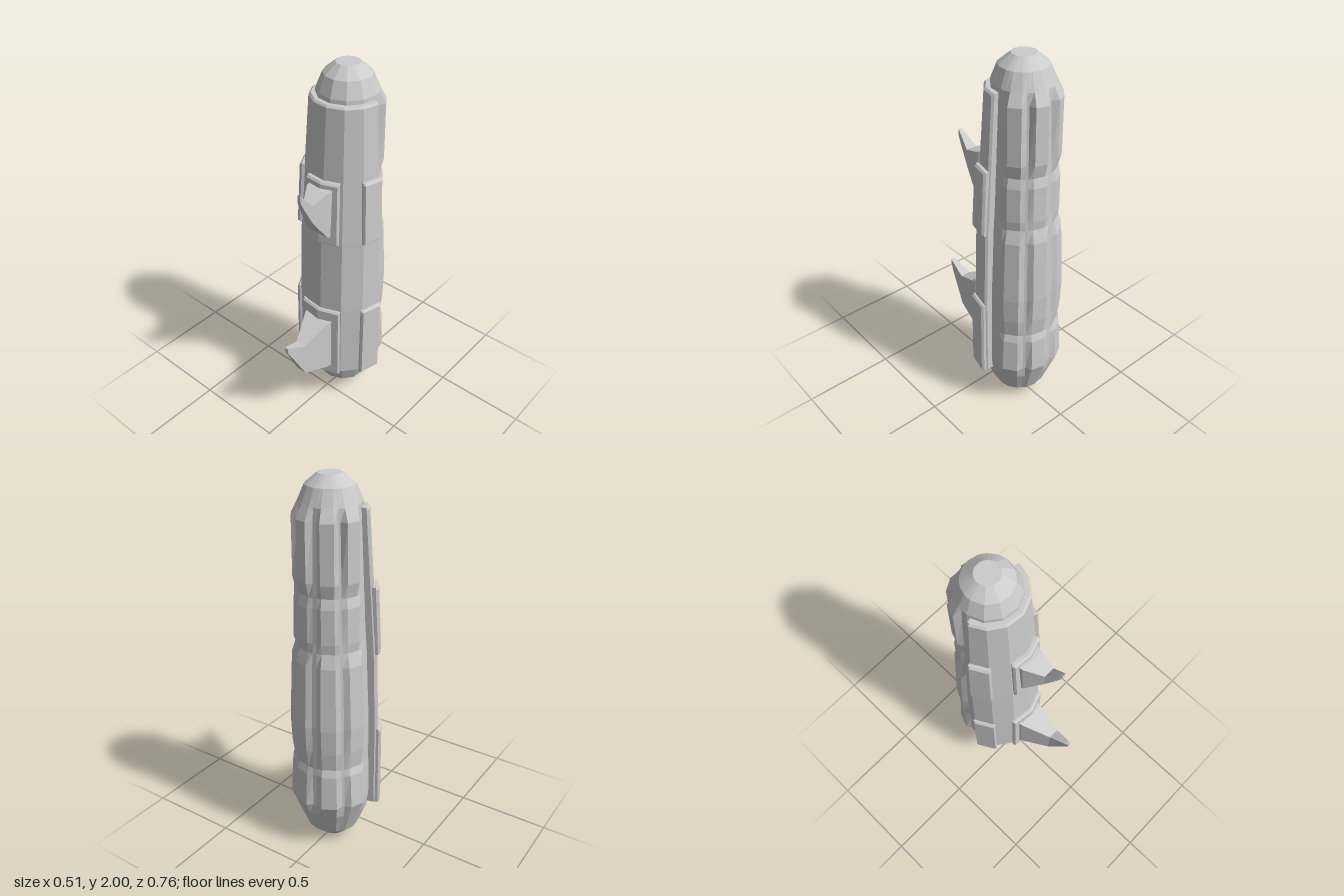
import * as THREE from 'three';

const AXIS_Z = -0.145, TURN = 7.5;
const material = new THREE.MeshStandardMaterial({ color: 0xcccccc, flatShading: true });

// point at an angle (degrees from the front, towards +x) around the body axis
function polar(deg, r, y) {
  const a = THREE.MathUtils.degToRad(deg);
  return [r * Math.sin(a), y, AXIS_Z + r * Math.cos(a)];
}

// joins closed cross-sections and caps both ends
function loft(name, rows) {
  const pos = [], n = rows[0].length;
  const tri = (...pts) => pts.forEach(p => pos.push(...p));
  for (let j = 0; j < rows.length - 1; j++) {
    for (let i = 0; i < n; i++) {
      const k = (i + 1) % n;
      const a = rows[j][i], b = rows[j][k], c = rows[j + 1][k], d = rows[j + 1][i];
      tri(a, b, c);
      tri(a, c, d);
    }
  }
  const first = rows[0], last = rows[rows.length - 1];
  for (let i = 0; i + 1 < n - 1 - i; i++) {
    const e = n - 1 - i;
    tri(last[i], last[i + 1], last[e]);
    tri(first[i], first[e], first[i + 1]);
    if (e - 1 > i + 1) {
      tri(last[i + 1], last[e - 1], last[e]);
      tri(first[i + 1], first[e], first[e - 1]);
    }
  }
  const geometry = new THREE.BufferGeometry();
  geometry.setAttribute('position', new THREE.Float32BufferAttribute(pos, 3));
  geometry.computeVertexNormals();
  const mesh = new THREE.Mesh(geometry, material);
  mesh.name = name;
  return mesh;
}

// faceted body with raised lobes along the back
function body() {
  const section = [];
  for (let k = -3; k <= 3; k++) section.push([TURN + k * 30, 0]);
  for (const c of [126, 166, 209, 249]) {
    section.push([c - 18, 0], [c - 10, 1], [c + 10, 1], [c + 18, 0]);
  }
  // height, radius in the grooves, radius on the lobes
  const levels = [
    [0, 0.065, 0.065], [0.08, 0.143, 0.148], [0.22, 0.198, 0.202],
    [0.29, 0.207, 0.23], [0.48, 0.206, 0.218], [0.52, 0.203, 0.204],
    [0.62, 0.203, 0.216], [0.76, 0.203, 0.221], [1.1, 0.188, 0.204],
    [1.17, 0.184, 0.182], [1.22, 0.18, 0.188], [1.4, 0.174, 0.186],
    [1.45, 0.171, 0.172], [1.52, 0.168, 0.188], [1.81, 0.156, 0.186],
    [1.87, 0.152, 0.156], [1.95, 0.12, 0.12], [2, 0.06, 0.06]
  ];
  return loft('body', levels.map(([y, groove, lobe]) =>
    section.map(([deg, t]) => polar(deg, groove + (lobe - groove) * t, y))));
}

// curved plate with bevelled rim; profile lists [height, outer radius]
function plate(name, angles, profile, thickness, bevel = 0.01) {
  const ring = (y, r, inner, drop) => {
    const a0 = angles[0], a1 = angles[angles.length - 1];
    const side = THREE.MathUtils.radToDeg(bevel / r);
    const outer = [
      polar(a0, r - bevel, y), polar(a0 + side, r - drop, y),
      ...angles.slice(1, -1).map(a => polar(a, r - drop, y)),
      polar(a1 - side, r - drop, y), polar(a1, r - bevel, y)
    ];
    const under = [a0, a0 + side, ...angles.slice(1, -1), a1 - side, a1];
    return [...outer, ...under.reverse().map(a => polar(a, inner, y))];
  };
  const rows = [], end = profile.length - 1;
  profile.forEach(([y, r], i) => {
    if (i === 0) rows.push(ring(y, r, r - thickness, bevel));
    rows.push(ring(y + (i === 0 ? bevel : i === end ? -bevel : 0), r, r - thickness, 0));
    if (i === end) rows.push(ring(y, r, r - thickness, bevel));
  });
  return loft(name, rows);
}

// tapering hooked fin; each station is [z, centre x, half width, low y, high y]
function fin(name, stations) {
  return loft(name, stations.map(([z, x, w, lo, hi]) =>
    [[x - w, lo, z], [x + w, lo, z], [x + w, hi, z], [x - w, hi, z]]));
}

export function createModel() {
  const group = new THREE.Group();
  group.add(body());

  // front shell wrapping half of the body
  const shellAngles = [-3, -2, -1, 0, 1, 2, 3].map(k => TURN + k * 28);
  group.add(plate('frontShell', shellAngles,
    [[0.23, 0.242], [0.69, 0.242], [1.12, 0.23], [1.85, 0.184]], 0.045));

  // raised plates: a lower and an upper set, each with front and two sides
  const sets = [
    ['lower', [[0.23, 0.263], [0.69, 0.261]], 28],
    ['upper', [[1.12, 0.25], [1.47, 0.233]], 25]
  ];
  for (const [level, profile, spread] of sets) {
    group.add(plate(level + 'FrontPlate', [TURN - 2 - spread, TURN - 1, TURN - 1 + spread], profile, 0.04));
    group.add(plate(level + 'LeftPlate', [61, 90], profile, 0.04));
    group.add(plate(level + 'RightPlate', [-75, -46], profile, 0.04));
  }

  // hooked fins on the front plates
  group.add(fin('lowerFin', [
    [0.08, 0.02, 0.085, 0.295, 0.625],
    [0.115, 0.02, 0.08, 0.3, 0.62],
    [0.27, 0.045, 0.03, 0.355, 0.555],
    [0.365, 0.05, 0.014, 0.54, 0.6],
    [0.383, 0.05, 0.009, 0.572, 0.605]
  ]));
  group.add(fin('upperFin', [
    [0.06, 0.02, 0.07, 1.165, 1.44],
    [0.1, 0.022, 0.066, 1.18, 1.435],
    [0.19, 0.042, 0.03, 1.305, 1.405],
    [0.25, 0.052, 0.014, 1.42, 1.475],
    [0.265, 0.055, 0.009, 1.455, 1.49]
  ]));
  return group;
}
